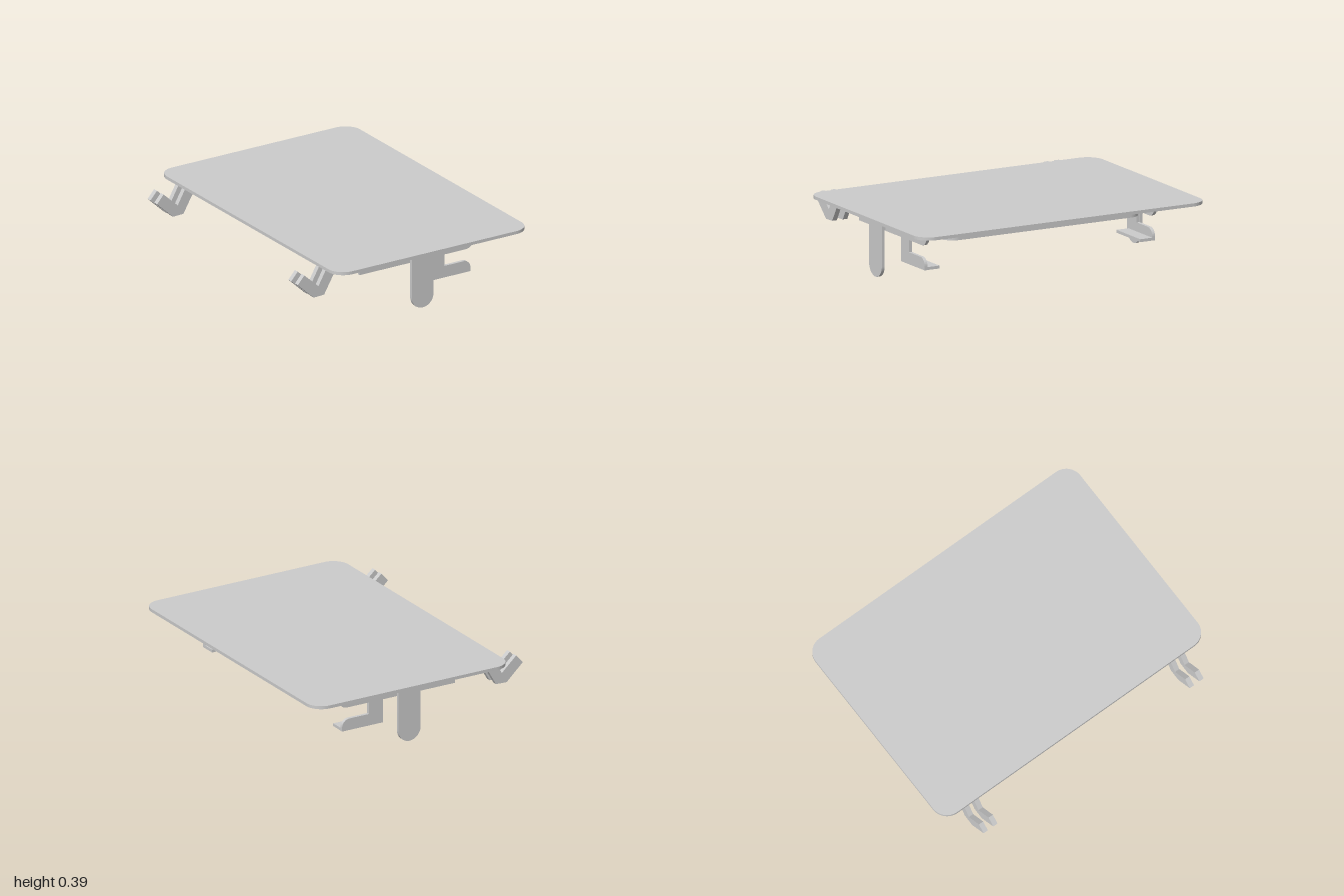
import * as THREE from 'three';
import { toCreasedNormals } from 'three/addons/utils/BufferGeometryUtils.js';

const material = new THREE.MeshStandardMaterial({ color: 0xcccccc });
const TOP = 0.372; // underside of the lid plate

// Rounded rectangle outline centred on (cx, 0)
function roundedRect(target, cx, w, h, r) {
  const x = w / 2 - r, y = h / 2 - r;
  target.absarc(cx + x, y, r, 0, Math.PI / 2);
  target.absarc(cx - x, y, r, Math.PI / 2, Math.PI);
  target.absarc(cx - x, -y, r, Math.PI, Math.PI * 1.5);
  target.absarc(cx + x, -y, r, Math.PI * 1.5, Math.PI * 2);
  target.closePath();
  return target;
}

function polygon(points) {
  return new THREE.Shape(points.map(([x, y]) => new THREE.Vector2(x, y)));
}

function extrude(shape, depth) {
  return new THREE.ExtrudeGeometry(shape, { depth, bevelEnabled: false, curveSegments: 12 });
}

function addMesh(parent, name, geometry) {
  const mesh = new THREE.Mesh(toCreasedNormals(geometry, 0.5), material);
  mesh.name = name;
  parent.add(mesh);
  return mesh;
}

// Upright sheet: an x-y outline with its thickness centred on z
function addSheet(parent, name, shape, z, thickness) {
  return addMesh(parent, name, extrude(shape, thickness).translate(0, 0, z - thickness / 2));
}

// Horizontal slab: an outline laid flat, rising from y
function addSlab(parent, name, shape, y, height) {
  return addMesh(parent, name, extrude(shape, height).rotateX(-Math.PI / 2).translate(0, y, 0));
}

export function createModel() {
  const model = new THREE.Group();
  model.name = 'coverPlate';

  // Lid
  addSlab(model, 'lidPlate', roundedRect(new THREE.Shape(), 0.088, 1.395, 2, 0.105), TOP, 0.02);

  // Locating rim beneath the lid
  const rim = roundedRect(new THREE.Shape(), 0.088, 0.905, 1.366, 0.085);
  rim.holes.push(roundedRect(new THREE.Path(), 0.088, 0.815, 1.276, 0.045));
  addSlab(model, 'locatingRim', rim, 0.288, TOP - 0.288);

  // Outlines of the parts repeated at both ends
  const hook = polygon([
    [-0.582, TOP], [-0.641, 0.267], [-0.743, 0.36], [-0.79, 0.307],
    [-0.675, 0.2], [-0.6, 0.203], [-0.502, TOP],
  ]);

  const tab = new THREE.Shape();
  tab.moveTo(0.14, TOP);
  tab.lineTo(-0.016, TOP);
  tab.lineTo(-0.016, 0.078);
  tab.absarc(0.062, 0.078, 0.078, Math.PI, Math.PI * 2);
  tab.closePath();

  // Bar with a stem and sideways foot, cut from one sheet
  const latch = new THREE.Shape();
  latch.moveTo(-0.325, TOP);
  latch.lineTo(-0.325, 0.26);
  latch.lineTo(0.186, 0.26);
  latch.lineTo(0.186, 0.11);
  latch.lineTo(0.476, 0.11);
  latch.absarc(0.426, 0.135, 0.05, 0, Math.PI / 2);
  latch.lineTo(0.287, 0.185);
  latch.lineTo(0.287, 0.26);
  latch.absarc(0.44, 0.32, 0.06, -Math.PI / 2, 0);
  latch.lineTo(0.5, TOP);
  latch.closePath();

  for (const side of [1, -1]) {
    const end = new THREE.Group();
    end.name = side > 0 ? 'frontFittings' : 'backFittings';
    model.add(end);

    for (const z of [0.743, 0.816]) addSheet(end, 'hingeHook', hook, side * z, 0.032);

    addSheet(end, 'guideTab', tab, side * 0.9, 0.02);
    addMesh(end, 'tabRib', new THREE.BoxGeometry(0.02, TOP - 0.286, 0.047))
      .position.set(0.062, (TOP + 0.286) / 2, side * 0.868);

    addSheet(end, 'latchBar', latch, side * 0.794, 0.02);
    addMesh(end, 'latchFlange', new THREE.BoxGeometry(0.29, 0.018, 0.1))
      .position.set(0.331, 0.1195, side * 0.75);
  }
  return model;
}
